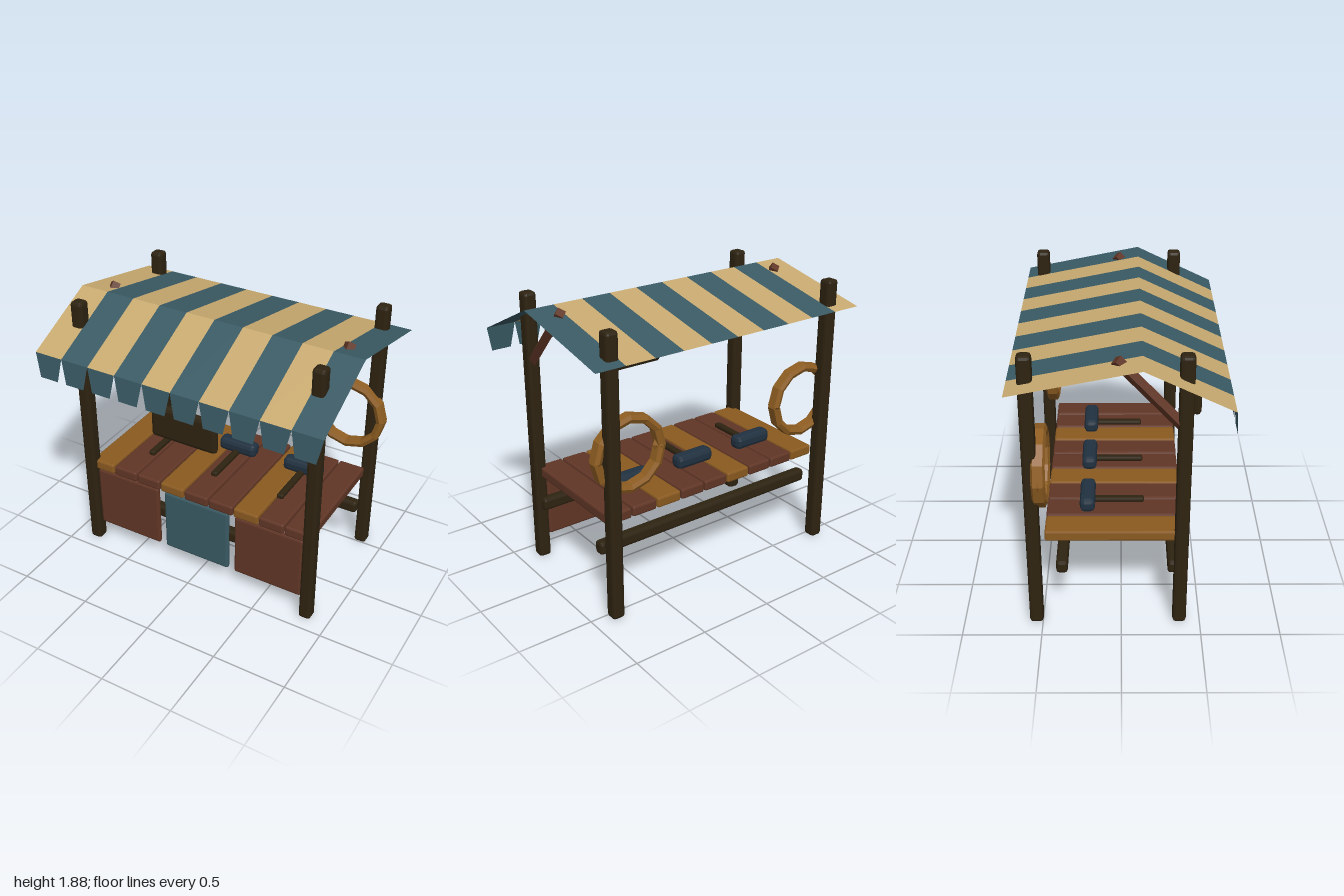
import * as THREE from 'three';
import { RoundedBoxGeometry } from 'three/addons/geometries/RoundedBoxGeometry.js';

function material(name, color, side = THREE.FrontSide) {
  const m = new THREE.MeshStandardMaterial({ color, side });
  m.name = name;
  return m;
}

// Facetted normals for every part
function flat(geometry) {
  const g = geometry.index ? geometry.toNonIndexed() : geometry;
  g.computeVertexNormals();
  return g;
}

// Sheet built from rows of [xLeft, xRight, y, z]
function sheet(rows) {
  const points = [], index = [];
  rows.forEach(([x0, x1, y, z], i) => {
    points.push(x0, y, z, x1, y, z);
    if (i) {
      const a = 2 * i - 2;
      index.push(a, a + 1, a + 3, a, a + 3, a + 2);
    }
  });
  const g = new THREE.BufferGeometry();
  g.setAttribute('position', new THREE.Float32BufferAttribute(points, 3));
  g.setIndex(index);
  return flat(g);
}

export function createModel() {
  const model = new THREE.Group();
  model.name = 'marketStall';

  const darkWood = material('dark wood', 0x2e2311);
  const brownWood = material('brown wood', 0x613626);
  const goldWood = material('golden wood', 0x8a5a20);
  const rope = material('rope', 0x8f5e22, THREE.DoubleSide);
  const teal = material('teal cloth', 0x3a5a64, THREE.DoubleSide);
  const tan = material('tan cloth', 0xc8aa70, THREE.DoubleSide);
  const navy = material('navy metal', 0x213140);

  const add = (name, geometry, mat, x = 0, y = 0, z = 0, parent = model) => {
    const mesh = new THREE.Mesh(geometry, mat);
    mesh.name = name;
    mesh.position.set(x, y, z);
    parent.add(mesh);
    return mesh;
  };
  const block = (w, h, d, bevel) => flat(new RoundedBoxGeometry(w, h, d, 1, bevel));

  // Corner posts and the slanted braces that carry the ridge
  const braceFrom = new THREE.Vector3(0, 1.41, 0.365);
  const braceTo = new THREE.Vector3(0, 1.84, -0.03);
  const braceDir = braceTo.clone().sub(braceFrom);
  const braceMid = braceFrom.clone().lerp(braceTo, 0.5);
  for (const x of [-0.84, 0.84]) {
    for (const z of [0.37, -0.54]) {
      add('post', block(0.086, 1.875, 0.086, 0.02), darkWood, x, 0.9375, z);
    }
    const brace = add('roofBrace',
      flat(new THREE.CylinderGeometry(0.037, 0.037, braceDir.length(), 4)),
      brownWood, x, braceMid.y, braceMid.z);
    brace.quaternion.setFromUnitVectors(
      new THREE.Vector3(0, 1, 0), braceDir.clone().normalize());
  }

  // Long rails below the counter
  add('frontRail', block(1.7, 0.085, 0.072, 0.018), darkWood, 0, 0.41, 0.325);
  add('backRail', block(1.7, 0.085, 0.072, 0.018), darkWood, 0, 0.41, -0.37);

  // Counter planks
  for (let i = 0; i < 9; i++) {
    add('counterPlank', block(0.177, 0.07, 0.85, 0.012),
      i % 3 === 0 ? goldWood : brownWood, (i - 4) * 0.187, 0.64, -0.045);
  }

  // Front panels
  for (const i of [-1, 0, 1]) {
    add('frontPanel', block(0.495, 0.46, 0.035, 0.015),
      i ? brownWood : teal, i * 0.543, 0.378, 0.365);
  }

  // Hammers laid on the counter
  for (const x of [-0.5, 0, 0.5]) {
    const hammer = new THREE.Group();
    hammer.name = 'hammer';
    hammer.position.set(x, 0, 0);
    model.add(hammer);
    add('hammerHead', block(0.28, 0.092, 0.096, 0.028), navy, 0, 0.725, -0.212, hammer);
    add('hammerHandle', block(0.045, 0.034, 0.35, 0.01), darkWood, 0, 0.695, -0.03, hammer);
  }

  // Hanging board
  add('hangingBoard', block(0.47, 0.235, 0.056, 0.027), darkWood, 0, 1.265, 0.488);

  // Striped canopy with a tapered valance flap on each stripe
  for (let i = 0; i < 10; i++) {
    const x0 = -1 + i * 0.2, x1 = x0 + 0.2;
    add('canopyStripe', sheet([
      [x0, x1, 1.595, 0.64], [x0, x1, 1.845, 0.12], [x0, x1, 1.69, -0.65],
    ]), i % 2 ? teal : tan);
    add('valanceFlap', sheet([
      [x0 + 0.033, x1 - 0.033, 1.43, 0.655], [x0, x1, 1.595, 0.64],
    ]), teal);
  }

  // Rope rings with a narrow split on one side and a knot on the other
  const section = [
    [0.202, -0.03], [0.229, -0.043], [0.255, -0.03], [0.255, 0.03],
    [0.229, 0.043], [0.202, 0.03], [0.202, -0.03],
  ].map(([r, z]) => new THREE.Vector2(r, z));
  for (const x of [-0.69, 0.69]) {
    const ring = new THREE.Group();
    ring.name = 'ropeRing';
    ring.position.set(x, 1.065, -0.487);
    model.add(ring);
    const coil = add('ropeCoil', flat(new THREE.LatheGeometry(
      section, 12, Math.PI / 2 + 0.02, Math.PI * 2 - 0.04)), rope, 0, 0, 0, ring);
    coil.rotation.x = Math.PI / 2;
    const knot = add('ropeKnot', flat(new THREE.OctahedronGeometry(1)), rope, -0.219, 0, 0, ring);
    knot.scale.set(0.042, 0.1, 0.047);
  }

  return model;
}
